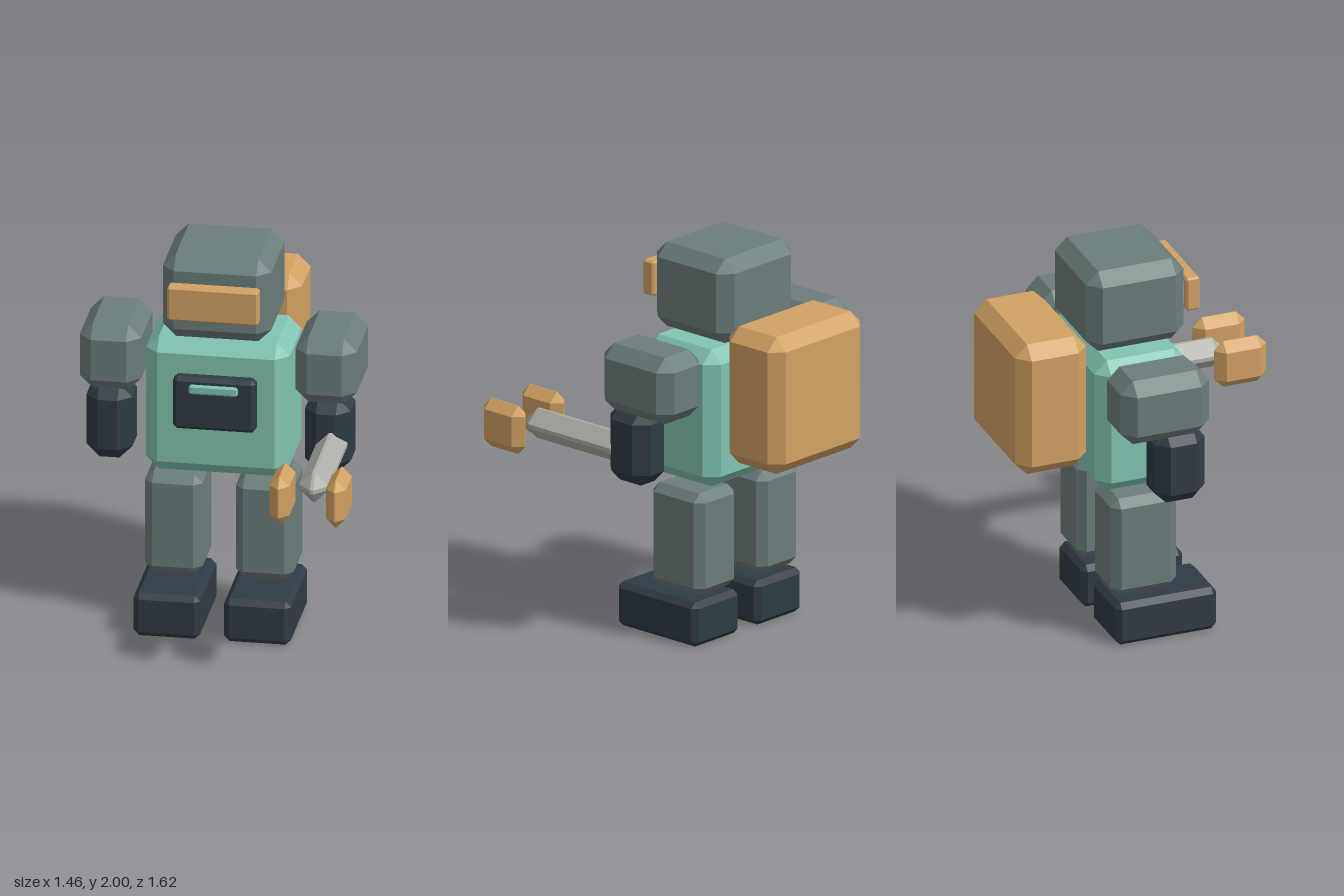
import * as THREE from 'three';
import { ConvexGeometry } from 'three/addons/geometries/ConvexGeometry.js';

const material = (name, color) => {
  const m = new THREE.MeshStandardMaterial({ color });
  m.name = name;
  return m;
};

// Box with every edge and corner cut at 45 degrees
function chamferBox(w, h, d, c) {
  const points = [];
  for (const sx of [-1, 1]) for (const sy of [-1, 1]) for (const sz of [-1, 1]) {
    const x = w / 2, y = h / 2, z = d / 2;
    points.push(
      new THREE.Vector3(sx * x, sy * (y - c), sz * (z - c)),
      new THREE.Vector3(sx * (x - c), sy * y, sz * (z - c)),
      new THREE.Vector3(sx * (x - c), sy * (y - c), sz * z)
    );
  }
  return new ConvexGeometry(points);
}

export function createModel() {
  const grey = material('grey armour', 0x6b7d7b);
  const dark = material('dark slate', 0x2f3b43);
  const teal = material('teal shell', 0x82c5b2);
  const amber = material('amber trim', 0xd2a263);
  const steel = material('pale steel', 0xadb0a8);

  const model = new THREE.Group();
  model.name = 'robot';
  const body = new THREE.Group();
  body.name = 'body';
  body.position.x = -0.038; // the held tool shifts the body off centre
  model.add(body);

  // Ranges are [min, max] along each axis
  function part(name, mat, [x0, x1], [y0, y1], [z0, z1], chamfer) {
    const mesh = new THREE.Mesh(chamferBox(x1 - x0, y1 - y0, z1 - z0, chamfer), mat);
    mesh.position.set((x0 + x1) / 2, (y0 + y1) / 2, (z0 + z1) / 2);
    mesh.name = name;
    body.add(mesh);
  }

  // Head and visor
  part('head', grey, [-0.272, 0.272], [1.56, 2.0], [-0.405, 0.115], 0.065);
  part('visorMount', teal, [-0.2, 0.2], [1.72, 1.86], [0.07, 0.13], 0.012);
  part('visor', amber, [-0.228, 0.228], [1.7, 1.88], [0.122, 0.195], 0.01);

  // Torso with chest panel and its light
  part('torso', teal, [-0.36, 0.36], [0.83, 1.545], [-0.395, 0.09], 0.065);
  part('chestPanel', dark, [-0.207, 0.207], [1.1, 1.38], [0.075, 0.152], 0.02);
  part('chestLight', teal, [-0.123, 0.123], [1.303, 1.353], [0.155, 0.18], 0.01);

  // Backpack on its mounting plate
  part('backpackMount', dark, [-0.22, 0.22], [1.05, 1.5], [-0.46, -0.405], 0.02);
  part('backpack', amber, [-0.336, 0.336], [0.985, 1.7], [-0.81, -0.43], 0.065);

  // Paired limbs
  for (const [side, s] of [['left', 1], ['right', -1]]) {
    const span = (a, b) => (s > 0 ? [a, b] : [-b, -a]);
    part(side + 'UpperArm', grey, span(0.387, 0.695), [1.238, 1.585], [-0.39, 0.08], 0.065);
    part(side + 'Forearm', dark, span(0.433, 0.663), [0.865, 1.26], [-0.2, 0.07], 0.065);
    part(side + 'Leg', grey, span(0.083, 0.373), [0.26, 0.79], [-0.325, 0.025], 0.042);
    part(side + 'Foot', dark, span(0.06, 0.395), [0, 0.23], [-0.315, 0.225], 0.028);
  }

  // Tool held in the left hand: rod with two prongs
  part('toolRod', steel, [0.498, 0.648], [0.945, 1.1], [-0.05, 0.645], 0.067);
  part('innerProng', amber, [0.382, 0.482], [0.895, 1.145], [0.535, 0.81], 0.047);
  part('outerProng', amber, [0.665, 0.765], [0.895, 1.145], [0.535, 0.81], 0.047);

  return model;
}
